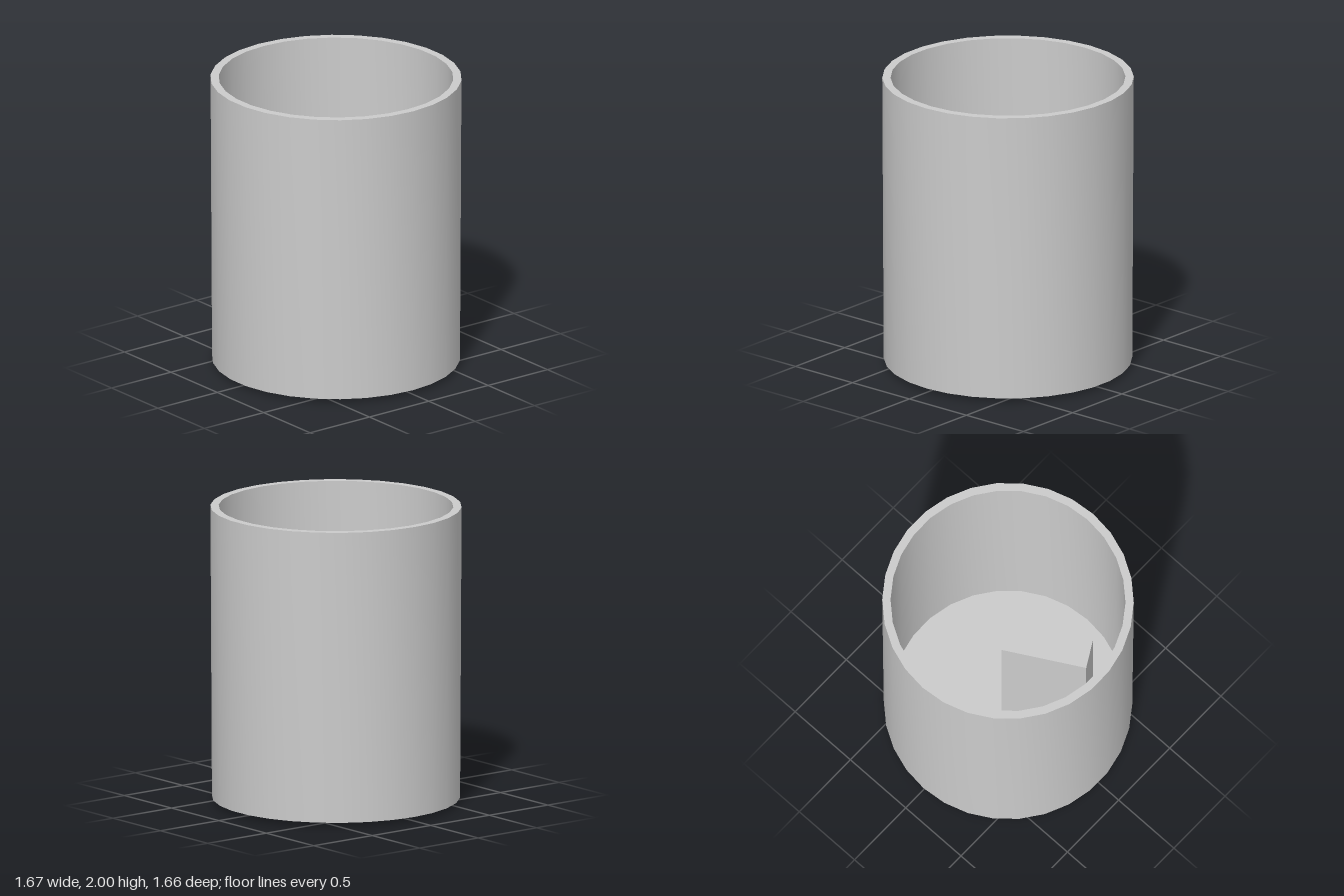
import * as THREE from 'three';
import { toCreasedNormals } from 'three/addons/utils/BufferGeometryUtils.js';

const FLOOR = 0.06;

export function createModel() {
  const model = new THREE.Group();
  const material = new THREE.MeshStandardMaterial({ color: 0xcccccc });

  // Open cup: shallow conical underside, slightly flared wall, flat rim, straight bore
  const profile = [
    [0, 0], [0.825, 0.027], [0.835, 2], [0.78, 2], [0.78, FLOOR], [0, FLOOR],
  ].map(([r, y]) => new THREE.Vector2(r, y));
  const cup = new THREE.Mesh(
    toCreasedNormals(new THREE.LatheGeometry(profile, 30, Math.PI / 2), 0.5),
    material
  );
  cup.name = 'cup';
  model.add(cup);

  // Upright bar standing on the floor, one corner on the cup's axis
  const top = 1.58;
  const bar = new THREE.Mesh(new THREE.BoxGeometry(0.197, top - FLOOR, 0.577), material);
  bar.name = 'innerBar';
  bar.position.set(0.058, (top + FLOOR) / 2, 0.3);
  bar.rotation.y = Math.PI / 6;
  model.add(bar);

  return model;
}
